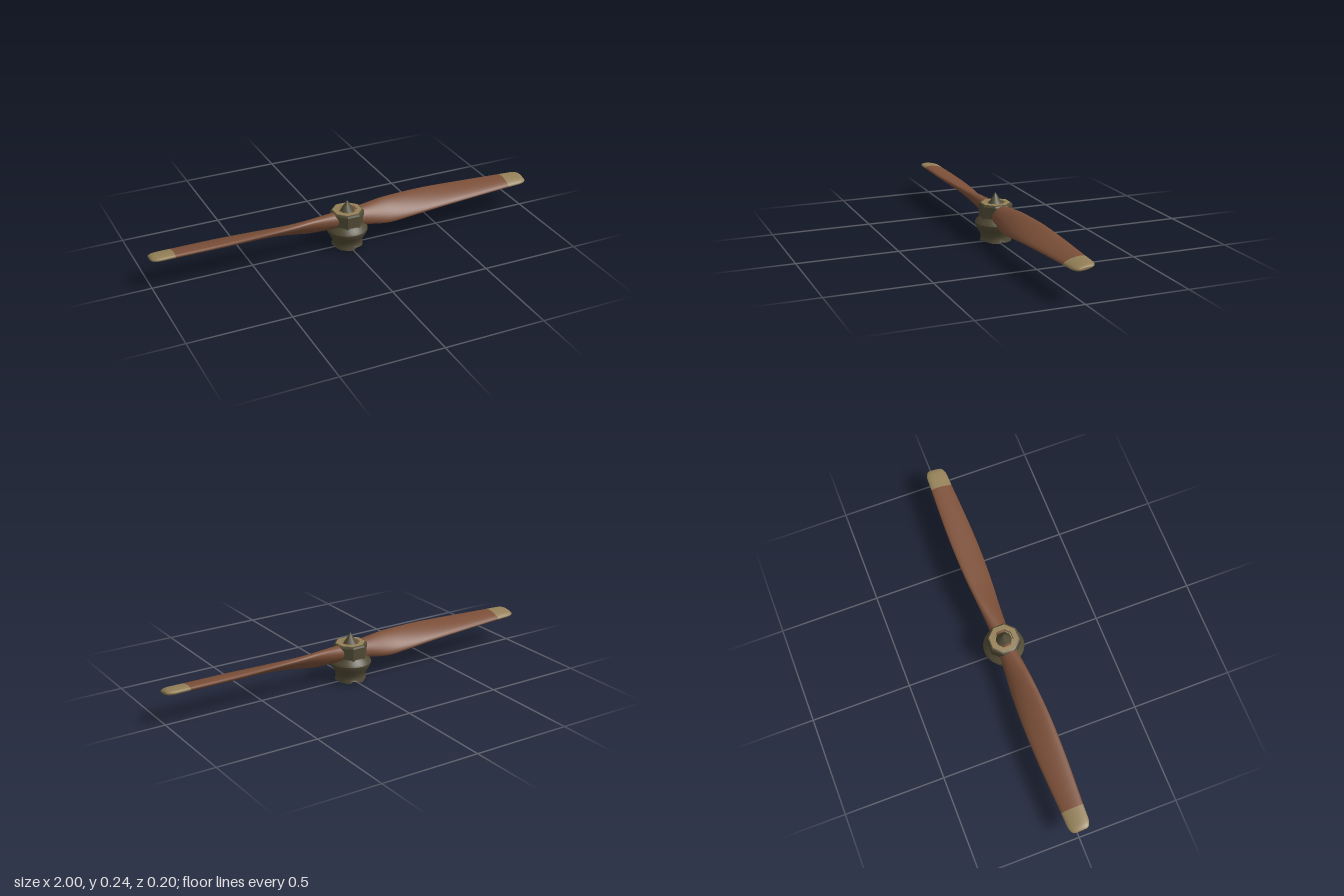
import * as THREE from 'three';
import { toCreasedNormals } from 'three/addons/utils/BufferGeometryUtils.js';

const wood = new THREE.MeshStandardMaterial({ color: 0x7b4f38 });
wood.name = 'wood';
const brass = new THREE.MeshStandardMaterial({ color: 0x948058 });
brass.name = 'tan brass';
const olive = new THREE.MeshStandardMaterial({ color: 0x504a34, side: THREE.DoubleSide });
olive.name = 'olive metal';

// Blade stations: x, half chord, half thickness, pitch in degrees, centre height
const STATIONS = [
  [0.03, 0.048, 0.042, 45, 0.145],
  [0.09, 0.052, 0.038, 45, 0.145],
  [0.20, 0.068, 0.030, 43, 0.143],
  [0.30, 0.072, 0.024, 34, 0.148],
  [0.45, 0.073, 0.020, 24, 0.156],
  [0.65, 0.068, 0.018, 16, 0.159],
  [0.89, 0.056, 0.0165, 11, 0.160],
  [0.96, 0.053, 0.016, 9, 0.160],
  [0.985, 0.046, 0.0135, 9, 0.160],
  [0.997, 0.036, 0.008, 9, 0.160],
  [1.00, 0.028, 0.004, 9, 0.160],
];
const TIP_STATION = 6;

// Twisted blade lofted from oval sections; group 0 is wood, group 1 the sheathed tip
function bladeGeometry() {
  const SIDES = 24, STEPS = 4;
  const n = STATIONS.length;
  const spline = new THREE.CubicInterpolant(
    STATIONS.map((_, i) => i), STATIONS.flat(), 5, new Float32Array(5));
  const rings = (n - 1) * STEPS;
  const pos = [], index = [];
  for (let i = 0; i <= rings; i++) {
    const [x, c, t, deg, yc] = spline.evaluate(i / STEPS);
    const p = THREE.MathUtils.degToRad(deg);
    for (let j = 0; j < SIDES; j++) {
      const a = (j / SIDES) * Math.PI * 2;
      const u = c * Math.cos(a), v = t * Math.sin(a);
      pos.push(x, yc + u * Math.sin(p) + v * Math.cos(p), -u * Math.cos(p) + v * Math.sin(p));
    }
  }
  for (let i = 0; i < rings; i++) {
    for (let j = 0; j < SIDES; j++) {
      const k = (j + 1) % SIDES;
      const a = i * SIDES + j, b = i * SIDES + k;
      index.push(a, b, a + SIDES, b, b + SIDES, a + SIDES);
    }
  }
  // end cap
  const centre = pos.length / 3;
  pos.push(1, STATIONS[n - 1][4], 0);
  for (let j = 0; j < SIDES; j++) {
    index.push(rings * SIDES + j, rings * SIDES + (j + 1) % SIDES, centre);
  }
  const geo = new THREE.BufferGeometry();
  geo.setAttribute('position', new THREE.Float32BufferAttribute(pos, 3));
  geo.setIndex(index);
  geo.computeVertexNormals();
  const split = TIP_STATION * STEPS * SIDES * 6;
  geo.addGroup(0, split, 0);
  geo.addGroup(split, index.length - split, 1);
  return geo;
}

function lathe(profile, sides) {
  return new THREE.LatheGeometry(profile.map(([r, y]) => new THREE.Vector2(r, y)), sides);
}

function add(group, name, geo, material) {
  const mesh = new THREE.Mesh(geo, material);
  mesh.name = name;
  group.add(mesh);
  return mesh;
}

export function createModel() {
  const model = new THREE.Group();
  model.name = 'propeller';

  // Two blades, half a turn apart
  const blade = bladeGeometry();
  add(model, 'leftBlade', blade, [wood, brass]);
  add(model, 'rightBlade', blade, [wood, brass]).rotation.y = Math.PI;

  // Bulged lower housing with a torn bottom rim
  const profile = [
    [0.077, 0], [0.073, 0.018], [0.073, 0.03], [0.08, 0.048], [0.092, 0.068],
    [0.101, 0.086], [0.102, 0.095], [0.096, 0.106], [0.085, 0.117], [0.079, 0.126], [0.05, 0.126],
  ];
  const SIDES = 32;
  const housing = lathe(profile, SIDES);
  const tear = [0, 0.008, 0.003, 0.012, 0.004, 0.001, 0.01, 0.002];
  for (let i = 0; i <= SIDES; i++) {
    const s = i % SIDES;
    housing.attributes.position.setY(i * profile.length, tear[(s * 3 + (s >> 3)) % tear.length]);
  }
  add(model, 'lowerHousing', toCreasedNormals(housing, 0.6), olive);

  // Eight-sided collar round the blade roots, flats facing front and sides
  const k = 1 / Math.cos(Math.PI / 8);
  const collar = lathe([
    [0.077 * k, 0.12], [0.077 * k, 0.182], [0.073 * k, 0.19], [0.066 * k, 0.193],
  ], 8).rotateY(Math.PI / 8);
  add(model, 'collar', toCreasedNormals(collar, 0.4), olive);

  // Flat face ring with a shallow recess
  const ring = lathe([
    [0.067 * k, 0.193], [0.044 * k, 0.194], [0.042 * k, 0.18], [0.001, 0.18],
  ], 8).rotateY(Math.PI / 8);
  add(model, 'faceRing', toCreasedNormals(ring, 0.4), brass);

  // Pointed nose cone
  const cone = new THREE.ConeGeometry(0.04, 0.066, 12);
  cone.translate(0, 0.211, 0);
  add(model, 'noseCone', cone, olive);

  return model;
}
